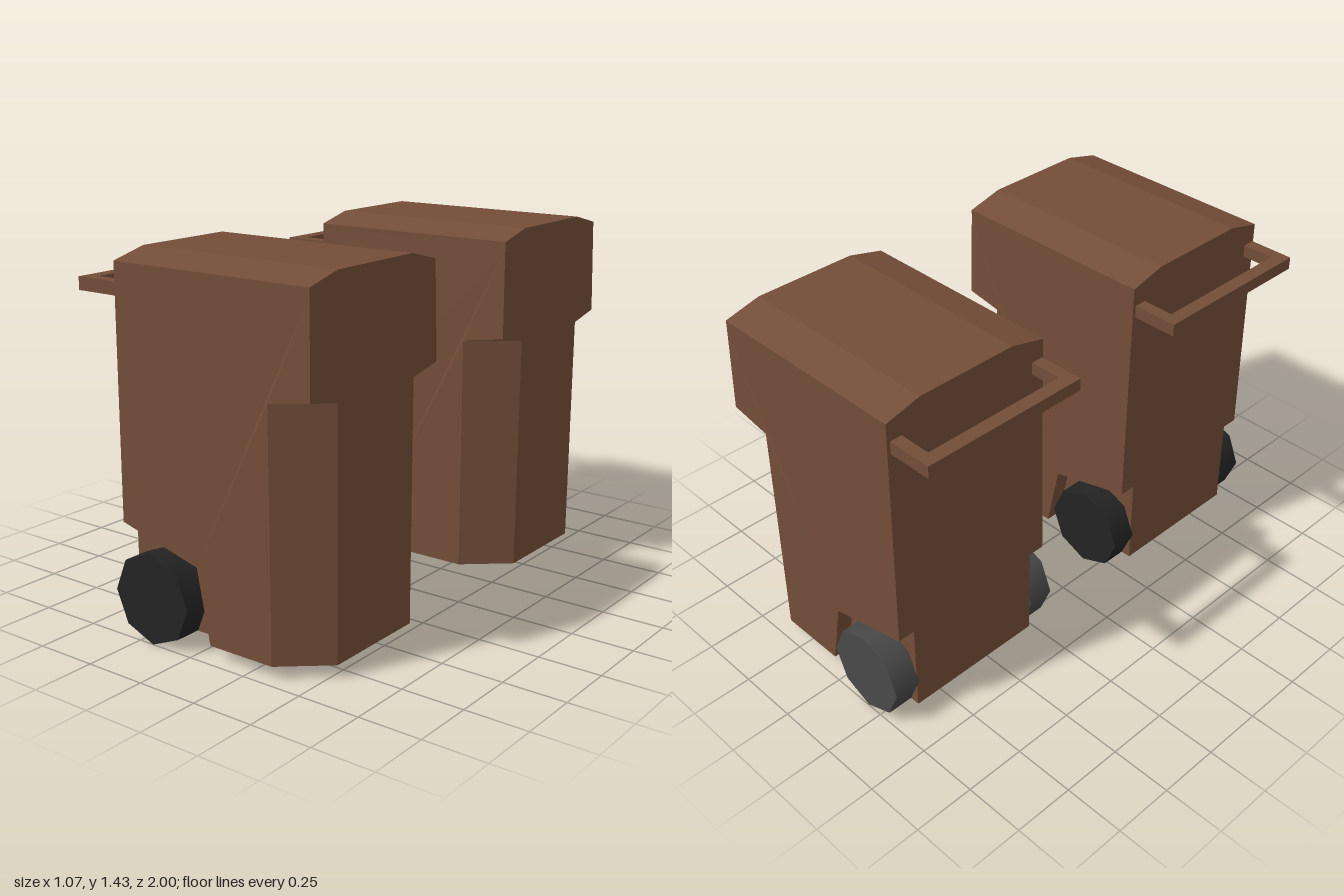
import * as THREE from 'three';

const material = (name, color) => {
  const m = new THREE.MeshStandardMaterial({ color });
  m.name = name;
  return m;
};
const named = (object, name) => {
  object.name = name;
  return object;
};

// Collects flat polygons, each turned to face its outward direction
function polygonBuilder() {
  const positions = [];
  const face = (points, outward) => {
    const pts = points.map((p) => new THREE.Vector3(...p));
    const out = new THREE.Vector3(...outward);
    const drop = outward.findIndex((v) => v !== 0);
    const [u, v] = [0, 1, 2].filter((k) => k !== drop);
    const flat = points.map((p) => new THREE.Vector2(p[u], p[v]));
    for (const tri of THREE.ShapeUtils.triangulateShape(flat, [])) {
      let [a, b, c] = tri.map((i) => pts[i]);
      const n = b.clone().sub(a).cross(c.clone().sub(a));
      if (n.dot(out) < 0) [b, c] = [c, b];
      for (const p of [a, b, c]) positions.push(p.x, p.y, p.z);
    }
  };
  const build = () => {
    const g = new THREE.BufferGeometry();
    g.setAttribute('position', new THREE.Float32BufferAttribute(positions, 3));
    g.computeVertexNormals();
    return g;
  };
  return { face, build };
}

const BACK = -0.35, FRONT = 0.525, BULGE = 0.53;
const BASE = 0.05, RIM = 1.37;
const TOP_W = 0.358, LOW_W = 0.366, WELL_W = 0.296, CUT_W = 0.22;

// Hollow-cornered bin body with wheel wells and cut front corners
function bodyGeometry() {
  const { face, build } = polygonBuilder();
  const across = (half, outward) =>
    face([...half, ...half.map(([x, y, z]) => [x, y, -z]).reverse()], outward);

  for (const s of [1, -1]) {
    const side = (points, outward) =>
      face(points.map(([x, y, z]) => [x, y, z * s]), [outward[0], outward[1], outward[2] * s]);
    const wellBack = [BACK, 0.43, LOW_W], wellBackIn = [BACK, 0.43, WELL_W];
    const wellTop = [0.01, 0.335, LOW_W], wellTopIn = [0.01, 0.323, WELL_W];
    const wellFoot = [0.065, BASE, LOW_W], wellFootIn = [0.065, BASE, WELL_W];
    const cutFoot = [0.35, BASE, LOW_W], cutTop = [0.35, 0.99, LOW_W];
    const cutFootIn = [FRONT, BASE, CUT_W], cutTopIn = [BULGE, 0.99, CUT_W];
    const corner = [BULGE, 1.02, LOW_W];

    // Side panel
    side([wellBack, wellTop, wellFoot, cutFoot, cutTop, corner,
      [FRONT, RIM, TOP_W], [BACK, RIM, TOP_W]], [0, 0, 1]);
    // Wheel well
    side([wellBack, wellTop, wellTopIn, wellBackIn], [0, -1, 0]);
    side([wellTop, wellFoot, wellFootIn, wellTopIn], [-1, 0, 0]);
    side([wellBackIn, wellTopIn, wellFootIn, [BACK, BASE, WELL_W]], [0, 0, 1]);
    // Cut corner and the ledge over it
    side([cutFoot, cutFootIn, cutTopIn, cutTop], [1, 0, 1]);
    side([cutTop, cutTopIn, corner], [0, -1, 0]);
  }
  // End panels and floor
  across([[FRONT, BASE, CUT_W], [BULGE, 0.99, CUT_W], [BULGE, 1.02, LOW_W],
    [FRONT, RIM, TOP_W]], [1, 0, 0]);
  across([[BACK, BASE, WELL_W], [BACK, 0.43, WELL_W], [BACK, 0.43, LOW_W],
    [BACK, RIM, TOP_W]], [-1, 0, 0]);
  across([[BACK, BASE, WELL_W], [0.065, BASE, WELL_W], [0.065, BASE, LOW_W],
    [0.35, BASE, LOW_W], [FRONT, BASE, CUT_W]], [0, -1, 0]);
  return build();
}

// Lid with sloped long edges
function lidGeometry() {
  const profile = new THREE.Shape([
    [-TOP_W, RIM], [TOP_W, RIM], [TOP_W, 1.395], [0.21, 1.432], [-0.21, 1.432], [-TOP_W, 1.395],
  ].map((p) => new THREE.Vector2(...p)));
  return new THREE.ExtrudeGeometry(profile, { depth: FRONT - BACK, bevelEnabled: false })
    .rotateY(Math.PI / 2)
    .translate(BACK, 0, 0);
}

// U-shaped push handle
function makeHandle(mat) {
  const handle = named(new THREE.Group(), 'handle');
  const bar = named(new THREE.Mesh(new THREE.BoxGeometry(0.055, 0.05, 0.7), mat), 'handleBar');
  bar.position.x = -0.508;
  handle.add(bar);
  for (const s of [1, -1]) {
    const arm = named(new THREE.Mesh(new THREE.BoxGeometry(0.131, 0.05, 0.05), mat), 'handleArm');
    arm.position.set(-0.415, 0, s * 0.325);
    handle.add(arm);
  }
  handle.position.set(0, 1.295, 0.005);
  return handle;
}

function makeBin(name, bodyMat, wheelMat) {
  const bin = named(new THREE.Group(), name);
  bin.add(named(new THREE.Mesh(bodyGeometry(), bodyMat), 'body'));
  bin.add(named(new THREE.Mesh(lidGeometry(), bodyMat), 'lid'));
  bin.add(makeHandle(bodyMat));
  const wheelShape = new THREE.CylinderGeometry(0.177, 0.177, 0.11, 8).rotateX(Math.PI / 2);
  for (const s of [1, -1]) {
    const wheel = named(new THREE.Mesh(wheelShape, wheelMat), s > 0 ? 'frontWheel' : 'backWheel');
    wheel.position.set(-0.184, 0.177, s * 0.349);
    bin.add(wheel);
  }
  return bin;
}

export function createModel() {
  const model = named(new THREE.Group(), 'wheeledBins');
  const brown = material('brownPlastic', 0x734d38);
  const frontBin = makeBin('frontBin', brown, material('blackRubber', 0x242424));
  const backBin = makeBin('backBin', brown, material('greyRubber', 0x494949));
  frontBin.position.z = 0.596;
  backBin.position.set(0.003, 0, -0.594);
  model.add(frontBin, backBin);
  return model;
}
